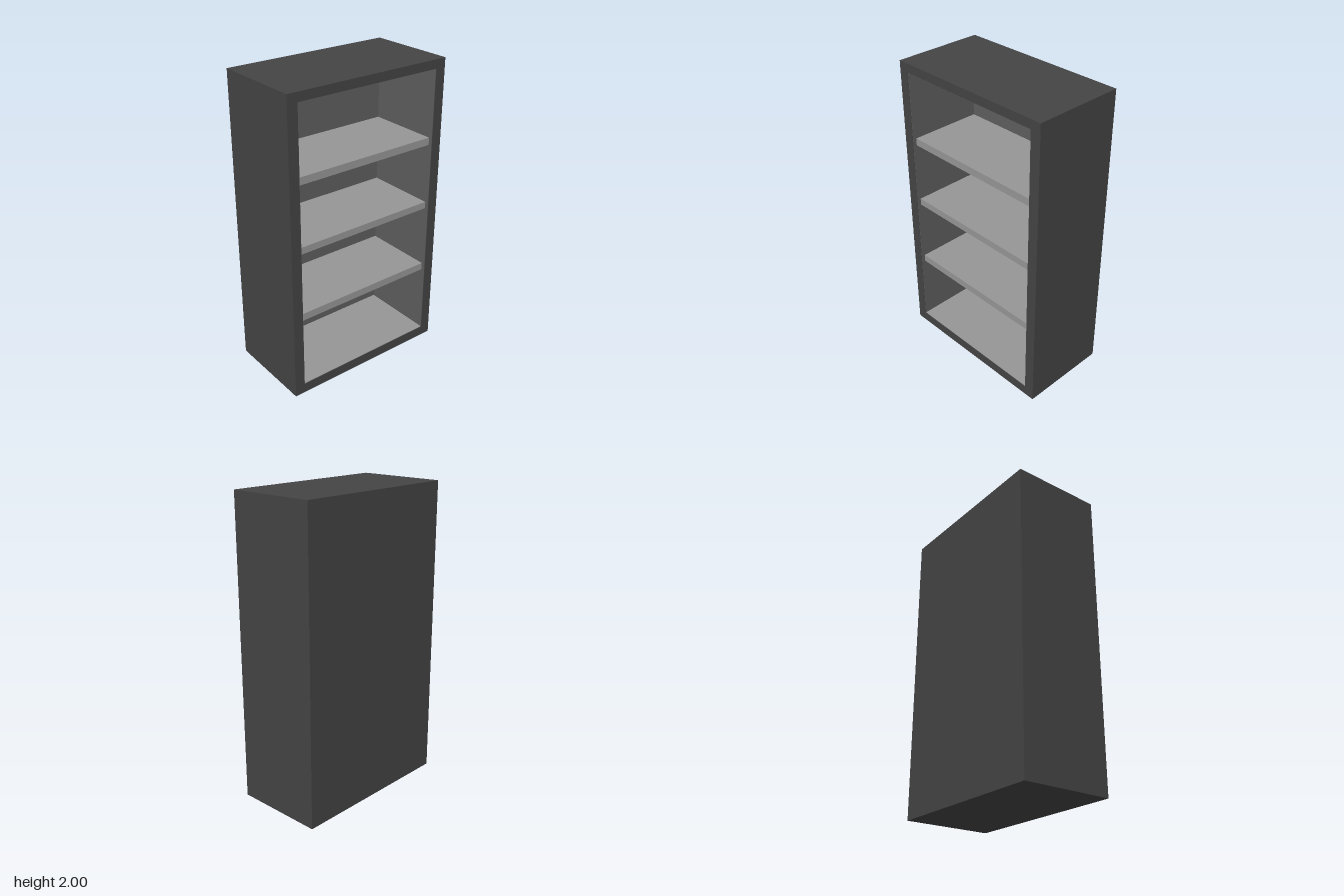
import * as THREE from 'three';

const W = 1.156, H = 2, D = 0.605;          // outer size
const X = 0.509, Y0 = 0.066, Y1 = 1.942;    // opening
const FRONT = D / 2, BACK = -0.218;         // inner depth range
const SKIN = 0.003;                         // lining thickness

const material = (color) => new THREE.MeshStandardMaterial({ color });

export function createModel() {
  const group = new THREE.Group();
  const caseMat = material(0x444444);
  const liningMat = material(0x5e5e5e);
  const shelfMat = material(0x969696);

  // Box given by its extents on each axis
  const addBox = (name, mat, [x0, x1], [y0, y1], [z0, z1]) => {
    const mesh = new THREE.Mesh(new THREE.BoxGeometry(x1 - x0, y1 - y0, z1 - z0), mat);
    mesh.position.set((x0 + x1) / 2, (y0 + y1) / 2, (z0 + z1) / 2);
    mesh.name = name;
    group.add(mesh);
  };

  // Case: rectangular frame extruded through the inner depth
  const rect = (path, x, y0, y1) =>
    path.moveTo(-x, y0).lineTo(x, y0).lineTo(x, y1).lineTo(-x, y1).closePath();
  const outline = rect(new THREE.Shape(), W / 2, 0, H);
  outline.holes.push(rect(new THREE.Path(), X, Y0, Y1));
  const frame = new THREE.Mesh(
    new THREE.ExtrudeGeometry(outline, { depth: FRONT - BACK, bevelEnabled: false }), caseMat);
  frame.position.z = BACK;
  frame.name = 'caseFrame';
  group.add(frame);

  // Solid back of the case
  addBox('caseBack', caseMat, [-W / 2, W / 2], [0, H], [-D / 2, BACK]);

  // Interior lining, just behind the front edge
  const depth = [BACK, FRONT - SKIN];
  addBox('backLining', liningMat, [-X, X], [Y0, Y1], [BACK, BACK + SKIN]);
  addBox('leftLining', liningMat, [X - SKIN, X], [Y0, Y1], depth);
  addBox('rightLining', liningMat, [-X, -X + SKIN], [Y0, Y1], depth);
  addBox('ceilingLining', liningMat, [-X, X], [Y1 - SKIN, Y1], depth);
  addBox('floorPanel', shelfMat, [-X, X], [Y0, Y0 + SKIN], depth);

  // Three shelves, set back slightly from the front
  [[0.53, 0.579], [0.998, 1.044], [1.444, 1.493]].forEach((y, i) =>
    addBox(`shelf${i + 1}`, shelfMat, [-X, X], y, [BACK, FRONT - 0.027]));

  return group;
}
